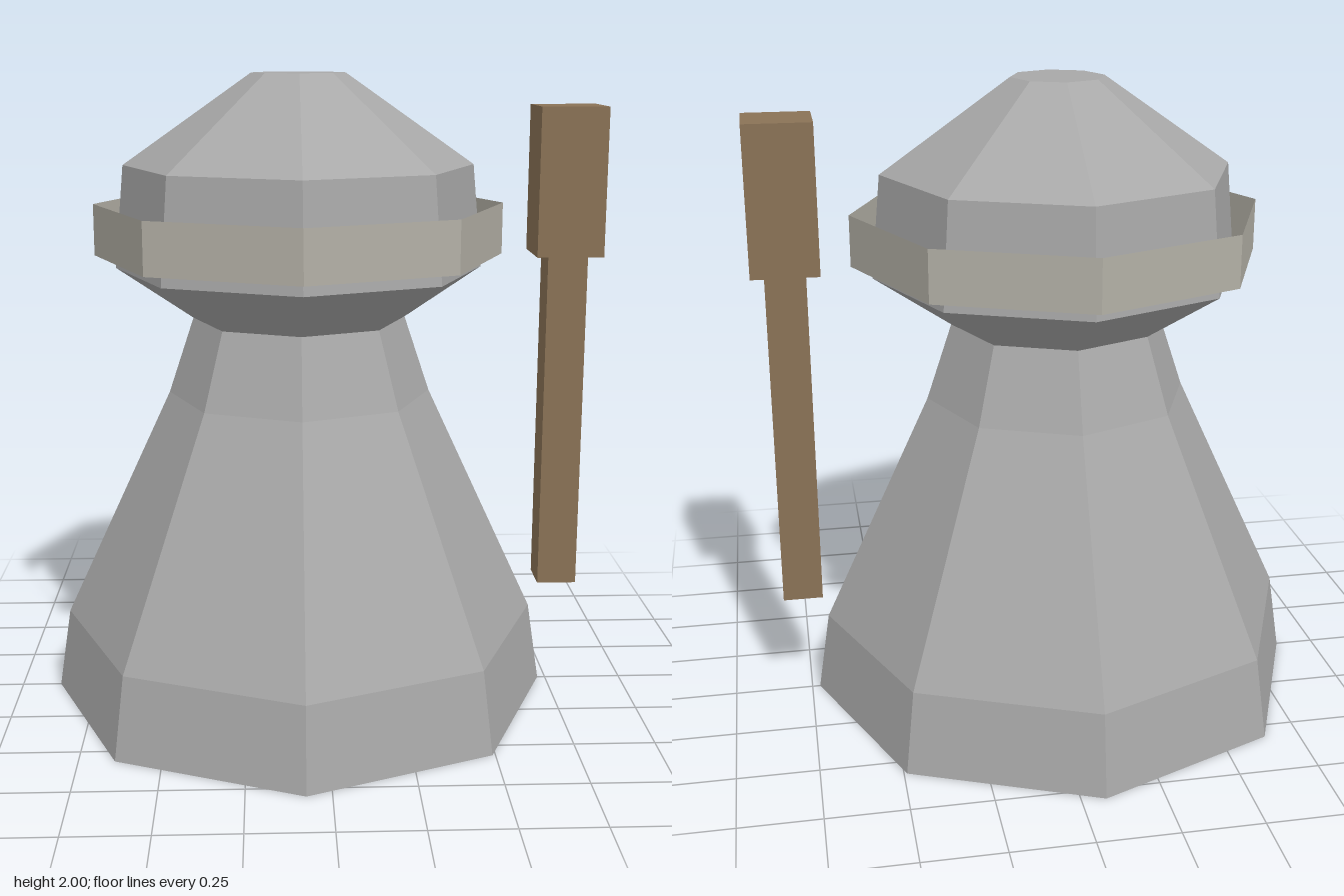
import * as THREE from 'three';

const SIDES = 8;
const AXIS_X = -0.075; // tower axis
const POST_X = 0.765; // mallet axis

function material(name, color, side = THREE.FrontSide) {
  return new THREE.MeshStandardMaterial({ name, color, side, flatShading: true });
}

function addPart(parent, name, geometry, mat, x, y) {
  const flat = geometry.toNonIndexed();
  flat.computeVertexNormals();
  const mesh = new THREE.Mesh(flat, mat);
  mesh.name = name;
  mesh.position.set(x, y, 0);
  parent.add(mesh);
  return mesh;
}

// Eight-sided solid from a bottom-to-top list of [radius, height]
function turned(profile) {
  return new THREE.LatheGeometry(profile.map(([r, y]) => new THREE.Vector2(r, y)), SIDES);
}

export function createModel() {
  const model = new THREE.Group();
  model.name = 'towerWithMallet';

  const stone = material('stoneGrey', 0xa8a8a8);
  const pale = material('paleStone', 0xb3b0a6, THREE.DoubleSide);
  const wood = material('woodBrown', 0x8a7256);

  // Flared body with a short plinth and a narrow neck
  addPart(model, 'body', turned([[0, 0], [0.8, 0], [0.76, 0.26], [0.415, 1.0], [0.335, 1.24], [0, 1.24]]), stone, AXIS_X, 0);

  // Domed head with a flat tip
  addPart(model, 'head', turned([[0, 1.24], [0.335, 1.24], [0.575, 1.4], [0.545, 1.72], [0.145, 2.0], [0, 2.0]]), stone, AXIS_X, 0);

  // Open band standing clear of the head
  addPart(model, 'headBand', new THREE.CylinderGeometry(0.64, 0.64, 0.16, SIDES, 1, true), pale, AXIS_X, 1.52);

  // Upright mallet at the side
  const mallet = new THREE.Group();
  mallet.name = 'mallet';
  addPart(mallet, 'malletHandle', new THREE.BoxGeometry(0.125, 1.08, 0.125), wood, POST_X, 0.9);
  addPart(mallet, 'malletHead', new THREE.BoxGeometry(0.208, 0.46, 0.208), wood, POST_X, 1.67);
  model.add(mallet);

  return model;
}
